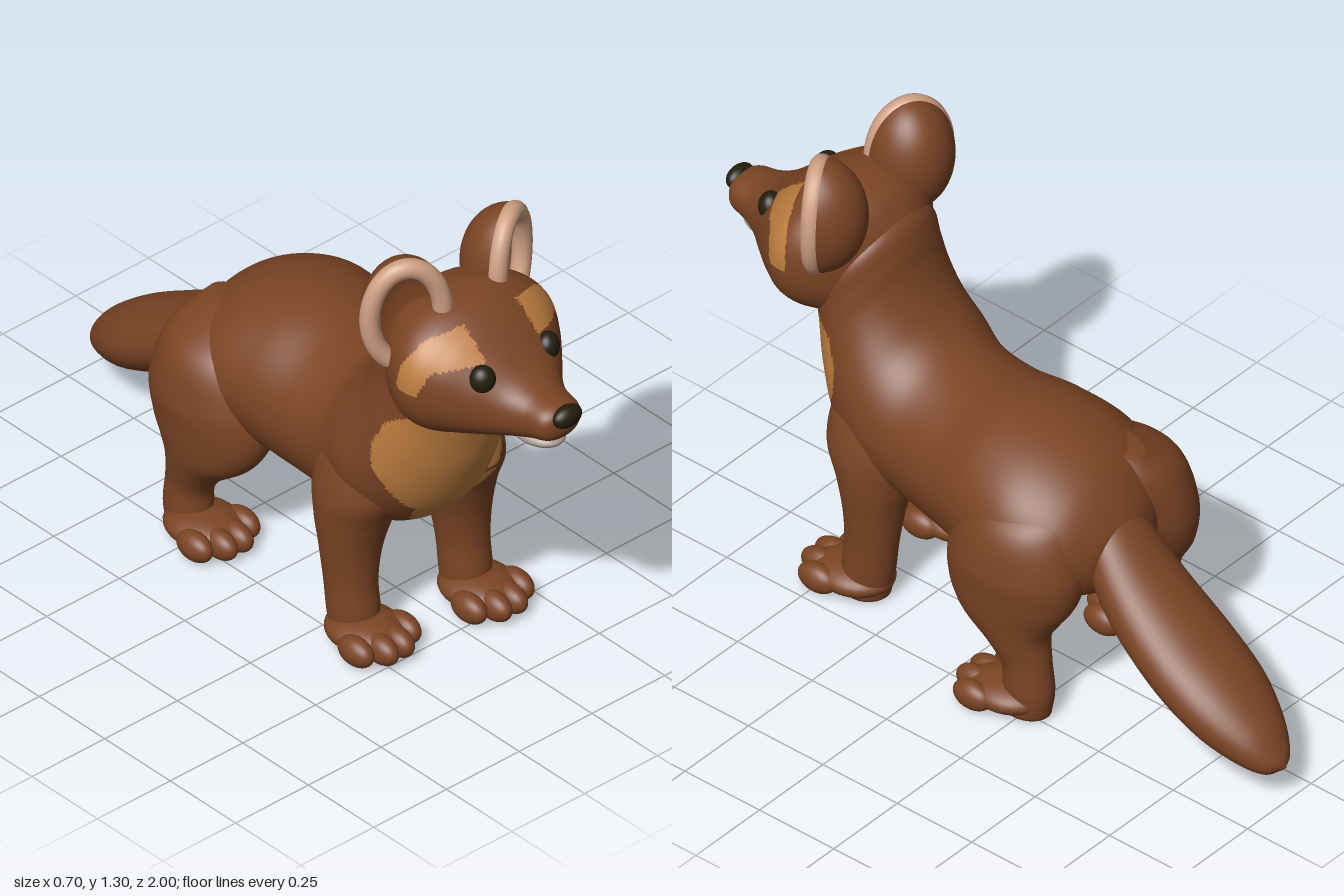
import * as THREE from 'three';

const mat = (name, color) => Object.assign(new THREE.MeshStandardMaterial({ color, side: THREE.DoubleSide }), { name });

// Smooth skin through sections [x, halfWidth, zA, yA, zB, yB]; A and B are opposite points in the side plane.
function loft(sections, { rings = 72, sides = 48, power = 1, x0 = 0, mirror = 1, dz = 0 } = {}) {
  const curve = f => new THREE.CatmullRomCurve3(sections.map(f), false, 'catmullrom', 0.5);
  const A = curve(s => new THREE.Vector3(x0 + mirror * s[0], s[3], s[2] + dz));
  const B = curve(s => new THREE.Vector3(x0 + mirror * s[0], s[5], s[4] + dz));
  const W = curve(s => new THREE.Vector3(s[1], 0, 0));
  const pos = [], idx = [];
  const bend = v => Math.sign(v) * Math.abs(v) ** power;
  for (let i = 0; i <= rings; i++) {
    const t = i / rings, a = A.getPoint(t), b = B.getPoint(t), w = Math.max(W.getPoint(t).x, 0.002);
    const mid = a.clone().add(b).multiplyScalar(0.5), up = a.clone().sub(mid);
    for (let j = 0; j < sides; j++) {
      const k = j / sides * Math.PI * 2;
      const p = mid.clone().addScaledVector(up, bend(Math.cos(k)));
      pos.push(p.x + w * bend(Math.sin(k)), p.y, p.z);
    }
  }
  for (let i = 0; i < rings; i++) for (let j = 0; j < sides; j++) {
    const a = i * sides + j, b = i * sides + (j + 1) % sides, c = a + sides, d = b + sides;
    idx.push(a, b, c, b, d, c);
  }
  // End caps
  for (const end of [0, rings]) {
    const centre = A.getPoint(end / rings).add(B.getPoint(end / rings)).multiplyScalar(0.5);
    const n = pos.length / 3;
    pos.push(centre.x, centre.y, centre.z);
    for (let j = 0; j < sides; j++) {
      const a = end * sides + j, b = end * sides + (j + 1) % sides;
      idx.push(...(end ? [n, a, b] : [n, b, a]));
    }
  }
  // Turn the faces outwards, whichever way the sections run
  let volume = 0;
  const pt = i => new THREE.Vector3().fromArray(pos, i * 3);
  for (let i = 0; i < idx.length; i += 3) volume += pt(idx[i]).dot(pt(idx[i + 1]).cross(pt(idx[i + 2])));
  if (volume < 0) idx.reverse();
  const g = new THREE.BufferGeometry();
  g.setAttribute('position', new THREE.Float32BufferAttribute(pos, 3));
  g.setIndex(idx);
  g.computeVertexNormals();
  return g;
}

// Sort the faces into colour groups by a rule on their centres
function paint(g, rule, count) {
  const p = g.attributes.position, old = g.index.array, lists = Array.from({ length: count }, () => []);
  for (let i = 0; i < old.length; i += 3) {
    const f = [old[i], old[i + 1], old[i + 2]];
    const mean = k => f.reduce((s, v) => s + p.getComponent(v, k), 0) / 3;
    lists[rule(mean(0), mean(1), mean(2))].push(...f);
  }
  g.setIndex(lists.flat());
  let start = 0;
  lists.forEach((l, m) => { if (l.length) g.addGroup(start, l.length, m); start += l.length; });
  return g;
}

function inside(poly, u, v) {
  let hit = false;
  poly.forEach(([a, b], i) => {
    const [c, d] = poly[(i + 1) % poly.length];
    if ((b > v) !== (d > v) && u < (c - a) * (v - b) / (d - b) + a) hit = !hit;
  });
  return hit;
}

// Side outlines (z, y) of the colour patches
const BIB = [[0.75, 0.83], [0.6, 0.83], [0.5, 0.775], [0.465, 0.7], [0.465, 0.63], [0.5, 0.54], [0.515, 0.47], [0.47, 0.4], [0.42, 0.355], [0.75, 0.33]];
const CHEEK = [[0.765, 1.05], [0.75, 1.085], [0.69, 1.13], [0.64, 1.1], [0.61, 1.04], [0.6, 0.97], [0.66, 0.955], [0.69, 1.03], [0.73, 1.04]];
const HEAD_X = -0.06;

const bibRule = (x, y, z) => {
  const half = 0.23 * Math.sqrt(THREE.MathUtils.clamp((y - 0.35) / 0.2, 0, 1));
  return inside(BIB, z, y) && Math.abs(x - HEAD_X) < half ? 1 : 0;
};
const headRule = (x, y, z) => {
  const off = Math.abs(x - HEAD_X);
  if (off > 0.09 && inside(CHEEK, z, y)) return 1;
  return y < 0.838 && z > 0.7 && off < 0.1 ? 2 : 0;
};

export function createModel() {
  const model = new THREE.Group();
  model.name = 'animal';
  const brown = mat('brown fur', 0x7b4424), tan = mat('tan fur', 0xbd7d3f), pink = mat('ear rim pink', 0xcfa084);
  const pale = mat('pale chin', 0xa89a92), dark = mat('dark eye and nose', 0x231d0c);
  const fur = [brown, tan, pale];

  const add = (name, geometry, material, parent = model) => {
    const m = new THREE.Mesh(geometry, material);
    m.name = name;
    parent.add(m);
    return m;
  };
  const ball = (name, material, at, size, parent) => {
    const m = add(name, new THREE.SphereGeometry(1, 28, 20), material, parent);
    m.position.set(...at);
    m.scale.set(...size);
    return m;
  };

  // Body and neck, from rump to nape
  add('body', paint(loft([
    [0.04, 0.02, -0.435, 0.53, -0.43, 0.46], [0.04, 0.14, -0.405, 0.6, -0.4, 0.38],
    [0.03, 0.235, -0.33, 0.69, -0.33, 0.34], [0.02, 0.285, -0.2, 0.752, -0.2, 0.32],
    [0.01, 0.275, -0.05, 0.772, -0.05, 0.31], [-0.01, 0.25, 0.1, 0.752, 0.08, 0.31],
    [-0.03, 0.235, 0.22, 0.765, 0.25, 0.315], [-0.05, 0.245, 0.29, 0.805, 0.42, 0.35],
    [-0.055, 0.23, 0.34, 0.87, 0.53, 0.44], [-0.06, 0.21, 0.37, 0.94, 0.59, 0.57],
    [-0.06, 0.197, 0.385, 1.0, 0.615, 0.7], [-0.06, 0.19, 0.41, 1.06, 0.625, 0.81],
    [-0.06, 0.14, 0.47, 1.1, 0.62, 0.9],
  ], { rings: 150, sides: 96 }), bibRule, 2), fur);

  // Tail
  add('tail', loft([
    [0.04, 0.06, -0.3, 0.66, -0.3, 0.45], [0.045, 0.11, -0.41, 0.585, -0.37, 0.38],
    [0.06, 0.135, -0.55, 0.47, -0.47, 0.295], [0.075, 0.147, -0.7, 0.375, -0.63, 0.195],
    [0.085, 0.135, -0.83, 0.295, -0.77, 0.125], [0.095, 0.095, -0.93, 0.215, -0.885, 0.088],
    [0.1, 0.05, -0.985, 0.145, -0.955, 0.08], [0.1, 0.005, -1, 0.11, -0.99, 0.1],
  ]), brown);

  // Head, from nape to muzzle
  add('head', paint(loft([
    [0, 0.09, 0.41, 1.05, 0.43, 0.88], [0, 0.19, 0.47, 1.125, 0.5, 0.79],
    [0, 0.245, 0.56, 1.155, 0.58, 0.77], [0, 0.252, 0.635, 1.148, 0.645, 0.775],
    [0, 0.215, 0.705, 1.11, 0.71, 0.795], [0, 0.165, 0.765, 1.06, 0.775, 0.815],
    [0, 0.112, 0.825, 1.01, 0.84, 0.835], [0, 0.082, 0.88, 0.985, 0.895, 0.852],
    [0, 0.07, 0.94, 0.973, 0.945, 0.868], [0, 0.045, 0.968, 0.957, 0.965, 0.885],
    [0, 0.01, 0.978, 0.93, 0.975, 0.905],
  ], { rings: 130, sides: 96, power: 0.88, x0: HEAD_X }), headRule, 3), fur);
  ball('chin', pale, [HEAD_X, 0.848, 0.86], [0.06, 0.026, 0.085]);
  ball('nose', dark, [HEAD_X + 0.003, 0.945, 0.968], [0.046, 0.031, 0.027]);

  for (const s of [1, -1]) {
    const side = s > 0 ? 'left' : 'right';

    // Eye
    const eye = ball(side + 'Eye', dark, [HEAD_X + s * 0.112, 1.01, 0.772], [0.036, 0.041, 0.032]);
    eye.rotation.y = s * 0.6;

    // Ear: rounded back, hollow front and a thick rim
    const ear = new THREE.Group();
    ear.name = side + 'Ear';
    ear.position.set(HEAD_X + s * 0.178, 1.13, 0.555);
    ear.rotation.y = s * 0.5;
    model.add(ear);
    const half = () => new THREE.SphereGeometry(1, 32, 32, Math.PI, Math.PI);
    add('earBack', half(), brown, ear).scale.set(0.118, 0.167, 0.13);
    add('earHollow', half(), brown, ear).scale.set(0.095, 0.145, 0.07);
    const arc = [];
    for (let i = 0; i <= 20; i++) {
      const a = THREE.MathUtils.degToRad(-62 + i * 13);
      arc.push(new THREE.Vector3(s * 0.096 * Math.cos(a), 0.145 * Math.sin(a), 0));
    }
    add('earRim', new THREE.TubeGeometry(new THREE.CatmullRomCurve3(arc), 64, 0.027, 14), pink, ear);

    // Legs; the right pair stands a little further back
    const dz = s > 0 ? 0 : -0.05;
    add(side + 'FrontLeg', paint(loft([
      [0.1, 0.03, 0.44, 0.68, 0.34, 0.7], [0.13, 0.09, 0.5, 0.6, 0.27, 0.6],
      [0.145, 0.115, 0.515, 0.48, 0.25, 0.48], [0.155, 0.105, 0.475, 0.38, 0.265, 0.38],
      [0.165, 0.085, 0.45, 0.28, 0.285, 0.29], [0.17, 0.07, 0.445, 0.18, 0.3, 0.18],
      [0.17, 0.068, 0.455, 0.09, 0.312, 0.08], [0.17, 0.06, 0.45, 0.01, 0.325, 0.01],
    ], { x0: -0.05, mirror: s, dz }), bibRule, 2), fur);
    add(side + 'HindLeg', loft([
      [0.1, 0.05, -0.1, 0.7, -0.3, 0.68], [0.15, 0.14, -0.03, 0.6, -0.36, 0.6],
      [0.185, 0.145, 0.01, 0.48, -0.39, 0.47], [0.2, 0.125, 0.015, 0.38, -0.375, 0.37],
      [0.215, 0.1, -0.03, 0.29, -0.335, 0.3], [0.225, 0.075, -0.13, 0.21, -0.31, 0.25],
      [0.225, 0.06, -0.175, 0.15, -0.315, 0.17], [0.225, 0.06, -0.18, 0.09, -0.325, 0.08],
      [0.225, 0.055, -0.18, 0.01, -0.315, 0.01],
    ], { x0: 0.01, mirror: s, dz }), brown);

    // Paws with four toes
    for (const [name, x, z] of [['FrontPaw', -0.05 + s * 0.172, 0.43], ['HindPaw', 0.01 + s * 0.228, -0.19]]) {
      const paw = new THREE.Group();
      paw.name = side + name;
      paw.position.set(x, 0, z + dz);
      model.add(paw);
      ball('pad', brown, [0, 0.048, 0], [0.098, 0.046, 0.115], paw);
      for (const k of [-1.5, -0.5, 0.5, 1.5])
        ball('toe', brown, [k * 0.054, 0.043, Math.abs(k) > 1 ? 0.055 : 0.09], [0.034, 0.041, 0.06], paw);
    }
  }
  return model;
}
